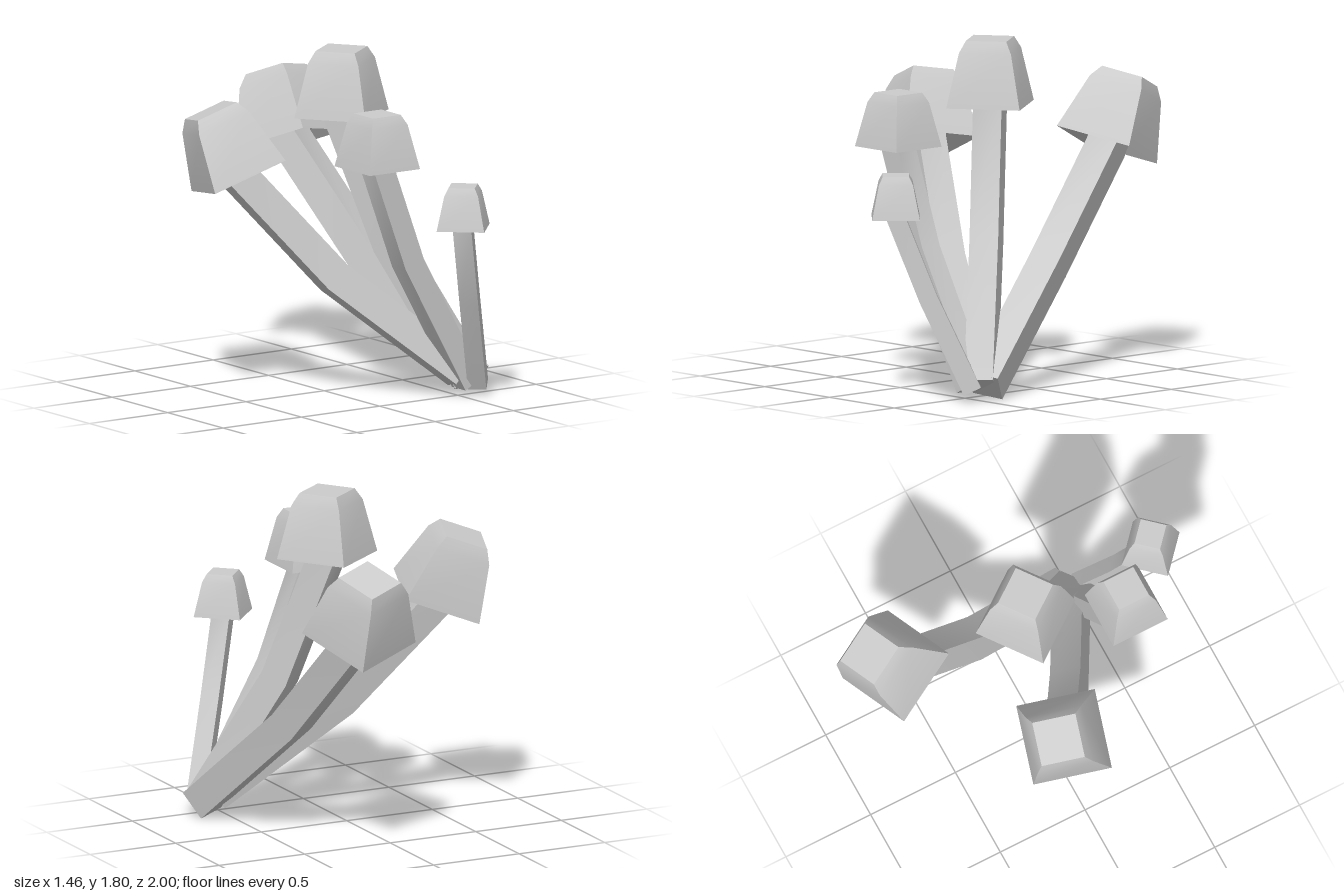
import * as THREE from 'three';
import { toCreasedNormals } from 'three/addons/utils/BufferGeometryUtils.js';

const V = (a) => new THREE.Vector3(...a);
const SIGNS = [[-1, -1], [1, -1], [1, 1], [-1, 1]];

// Square ring of corners around a centre, spanned by unit axes u and v
function squareRing(center, u, v, half) {
  return SIGNS.map(([a, b]) => center.clone().addScaledVector(u, a * half).addScaledVector(v, b * half));
}

// Closed surface through a stack of four-cornered rings
function loft(rings) {
  const pos = [];
  const quad = (a, b, c, d) => [a, b, c, a, c, d].forEach((p) => pos.push(p.x, p.y, p.z));
  for (let r = 0; r < rings.length - 1; r++) {
    const lo = rings[r], hi = rings[r + 1];
    for (let i = 0; i < 4; i++) {
      const j = (i + 1) % 4;
      quad(lo[i], lo[j], hi[j], hi[i]);
    }
  }
  quad(...[...rings[0]].reverse());
  quad(...rings[rings.length - 1]);
  const geo = new THREE.BufferGeometry();
  geo.setAttribute('position', new THREE.Float32BufferAttribute(pos, 3));
  return toCreasedNormals(geo, Math.PI / 6);
}

// Cap profile: [width factor, height factor], starting in the hollow underside
const CAP_PROFILE = [[0.39, 0.3], [1, 0], [0.71, 0.82], [0.55, 1]];

// Each mushroom: centre of the cap rim, cap width, cap edge direction,
// cap axis, and the stem's bend and foot
const MUSHROOMS = [
  { name: 'tallMushroom', rim: [0.125, 1.48, -0.02], size: 0.39, edge: [0.31, 0, -0.23], axis: [0, 1, 0],
    bend: [0.305, 0.8, 0.17], foot: [0.6, 0.1, 0.48] },
  { name: 'rightMushroom', rim: [-0.47, 1.205, -0.108], size: 0.42, edge: [0.38, 0.15, 0.1], axis: [-0.3, 0.92, -0.246],
    bend: [-0.04, 0.655, 0.15], foot: [0.54, 0.14, 0.47] },
  { name: 'middleMushroom', rim: [-0.015, 1.295, 0.5], size: 0.32, edge: [1, 0, 0], axis: [0, 1, 0],
    bend: [0.18, 0.77, 0.5], foot: [0.56, 0.09, 0.5] },
  { name: 'smallMushroom', rim: [0.31, 0.99, 0.815], size: 0.25, edge: [0.17, 0, -0.19], axis: [0, 1, 0],
    bend: [0.435, 0.565, 0.7], foot: [0.6, 0.08, 0.54] },
  { name: 'backMushroom', rim: [0.285, 1.215, -0.7], size: 0.425, edge: [0.385, -0.08, -0.155], axis: [0.03, 0.917, -0.397],
    bend: [0.41, 0.65, -0.17], foot: [0.615, 0.1, 0.46] },
];

function createMushroom({ name, rim, size, edge, axis, bend, foot }, material) {
  const group = new THREE.Group();
  group.name = name;
  const center = V(rim), n = V(axis).normalize();
  const u = V(edge).projectOnPlane(n).normalize();
  const v = n.clone().cross(u);
  const height = size * 0.89;

  // Cap: square bell with a bevelled top and recessed underside
  const cap = new THREE.Mesh(loft(CAP_PROFILE.map(([w, h]) =>
    squareRing(center.clone().addScaledVector(n, h * height), u, v, w * size / 2))), material);
  cap.name = 'cap';

  // Stem: square section following the bend, its top buried in the cap
  const top = center.clone().addScaledVector(n, 0.32 * height);
  const path = [V(foot), V(bend), center, top];
  const low = path[1].clone().sub(path[0]).normalize();
  const high = path[2].clone().sub(path[1]).normalize();
  const tangents = [low, low.clone().add(high).normalize(), high, n];
  const stem = new THREE.Mesh(loft(path.map((p, i) => {
    const a = u.clone().projectOnPlane(tangents[i]).normalize();
    return squareRing(p, a, tangents[i].clone().cross(a), size * 0.195);
  })), material);
  stem.name = 'stem';

  group.add(cap, stem);
  return group;
}

export function createModel() {
  const model = new THREE.Group();
  model.name = 'mushroomCluster';
  const material = new THREE.MeshStandardMaterial({ color: 0xcccccc });
  MUSHROOMS.forEach((m) => model.add(createMushroom(m, material)));
  return model;
}
